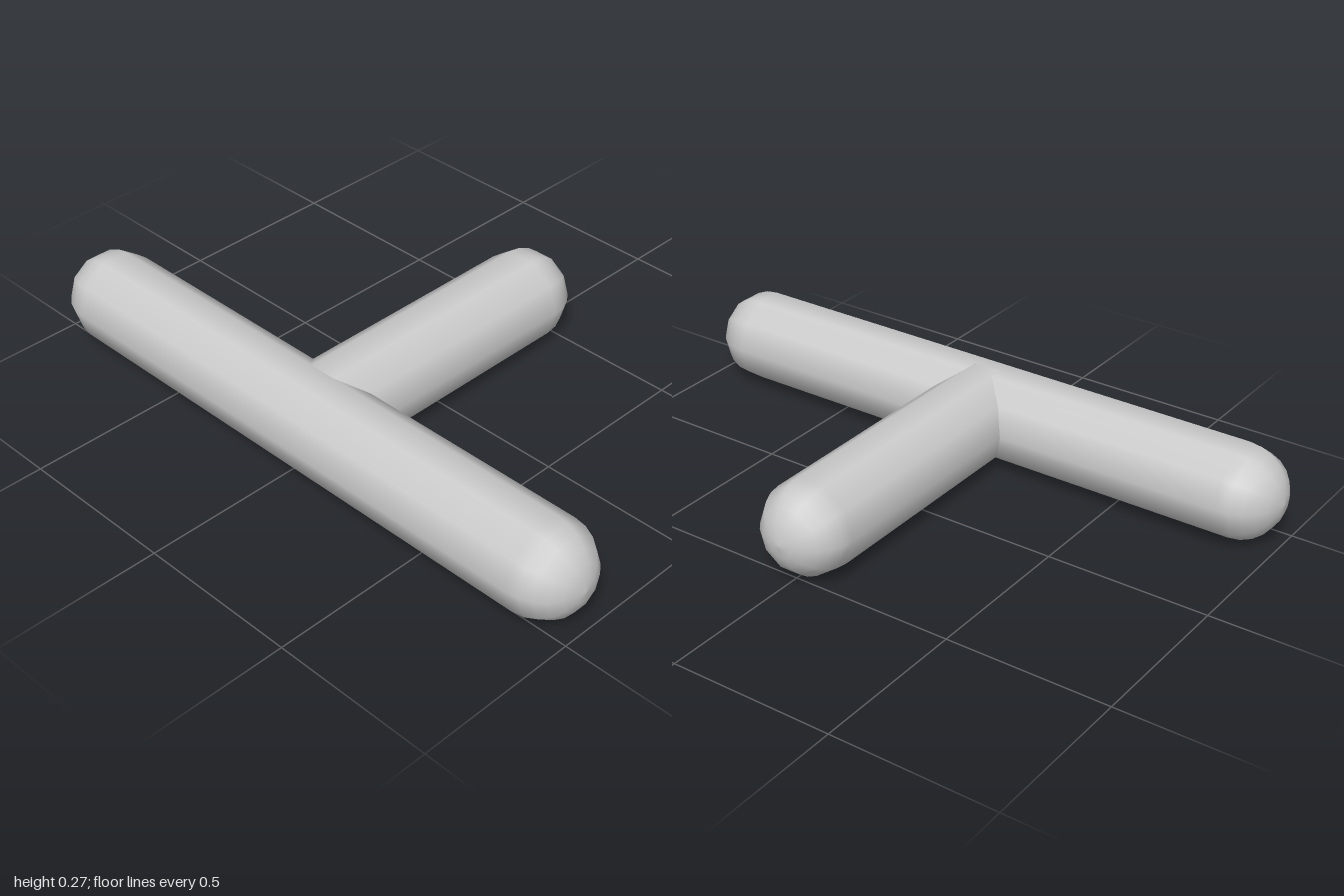
import * as THREE from 'three';

const R = 1 / 7;      // tube radius
const SIDES = 10;
const CAP_STEPS = 6;

// Tube along y with a domed top, and a domed bottom unless it is left open
function roundedTube(bottom, top, domedBottom) {
  const points = [];
  const addPoint = (angle, y) => points.push(new THREE.Vector2(
    Math.max(0, R * Math.cos(angle)), y + R * Math.sin(angle)));
  if (domedBottom) {
    for (let i = 0; i < CAP_STEPS; i++) addPoint((i / CAP_STEPS - 1) * Math.PI / 2, bottom);
  }
  addPoint(0, bottom);
  for (let i = 0; i <= CAP_STEPS; i++) addPoint((i / CAP_STEPS) * Math.PI / 2, top);
  return new THREE.LatheGeometry(points, SIDES);
}

export function createModel() {
  const group = new THREE.Group();
  const material = new THREE.MeshStandardMaterial({ color: 0xcccccc });
  const centreY = R * Math.sin(Math.PI * 2 / 5); // the flat lower side rests on the floor

  // Long crossbar running front to back
  const bar = new THREE.Mesh(
    roundedTube(-1 + R, 1 - R, true).rotateY(Math.PI / 2).rotateX(Math.PI / 2), material);
  bar.name = 'crossbar';
  bar.position.set(-3 * R, centreY, 0);

  // Stem leaving the middle of the crossbar; its open end is buried in the bar
  const stem = new THREE.Mesh(
    roundedTube(0, 6 * R, false).rotateZ(-Math.PI / 2), material);
  stem.name = 'stem';
  stem.position.set(-3 * R, centreY, 0);

  group.add(bar, stem);
  return group;
}
